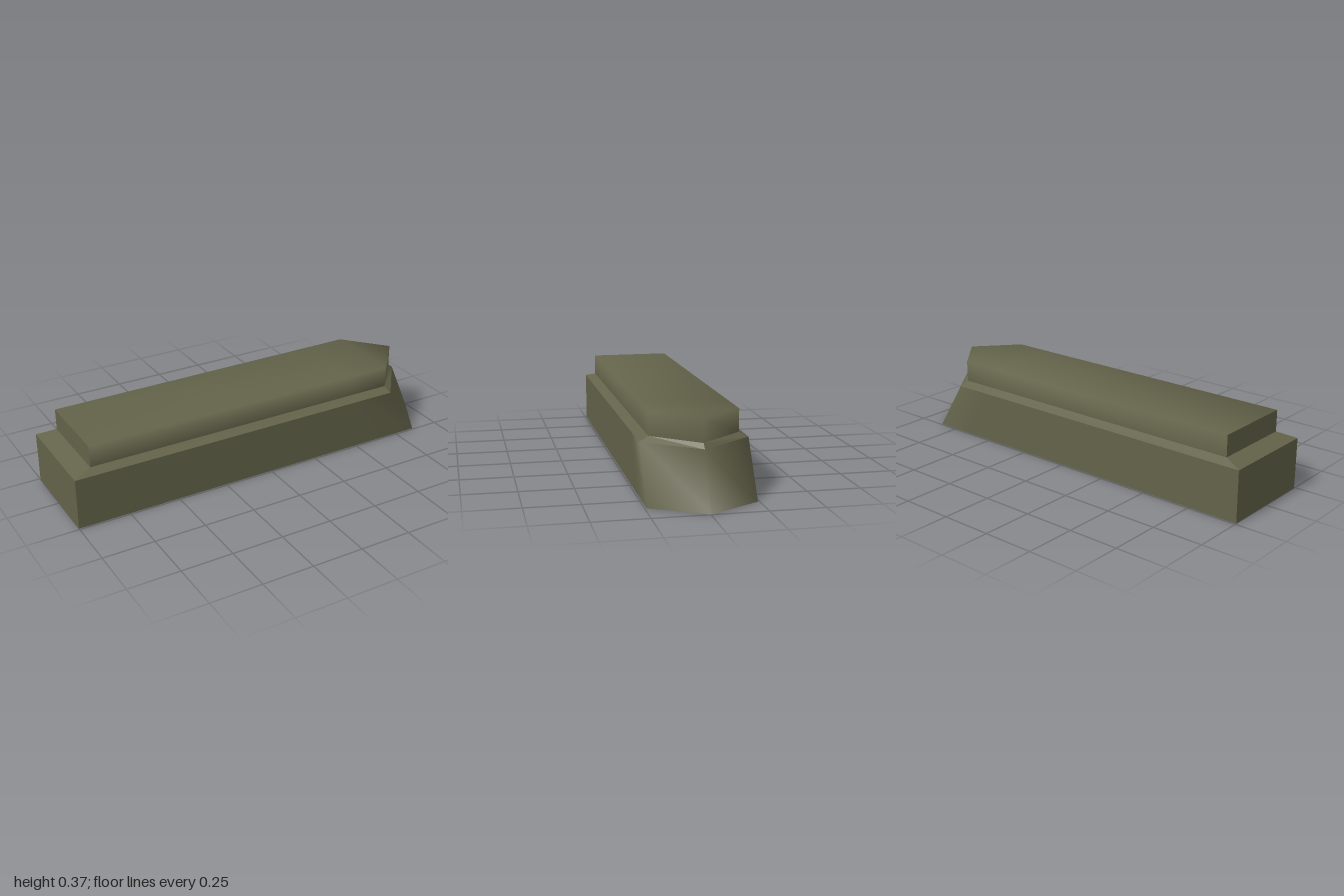
import * as THREE from 'three';

// Outline from the rear +z corner, round the pointed nose, to the rear -z corner
function outline(y, back, half, shoulder, tip) {
  const side = [[back, half], [shoulder - 0.2, half], [shoulder, half]];
  return [
    ...side.map(([x, z]) => [x, y, z]),
    [tip, y, 0],
    ...side.reverse().map(([x, z]) => [x, y, -z]),
  ];
}

// Wall between two outlines of equal length, with an optional lid on the upper one
function loft(lower, upper, lid = false) {
  const n = lower.length;
  const index = [];
  for (let i = 0; i < n - 1; i++) {
    index.push(i, i + 1, n + i, i + 1, n + i + 1, n + i);
  }
  if (lid) {
    for (let i = 0; i < (n - 1) / 2; i++) {
      const a = n + i, b = a + 1, d = 2 * n - 1 - i, c = d - 1;
      index.push(a, b, d);
      if (b !== c) index.push(b, c, d);
    }
  }
  const geometry = new THREE.BufferGeometry();
  geometry.setAttribute('position', new THREE.Float32BufferAttribute([...lower, ...upper].flat(), 3));
  geometry.setIndex(index);
  geometry.computeVertexNormals();
  return geometry;
}

function flat(geometry) {
  const result = geometry.toNonIndexed();
  result.computeVertexNormals();
  return result;
}

export function createModel() {
  const olive = new THREE.MeshStandardMaterial({ color: 0x64634a, side: THREE.DoubleSide });
  olive.name = 'olive';
  const group = new THREE.Group();
  group.name = 'pointedHousing';
  const add = (name, geometry) => {
    const mesh = new THREE.Mesh(geometry, olive);
    mesh.name = name;
    group.add(mesh);
  };

  const base = outline(0, -1, 0.242, 0.86, 1);
  const rim = outline(0.248, -1, 0.242, 0.70, 0.89);
  const foot = outline(0.27, -0.91, 0.201, 0.69, 0.865);
  const top = outline(0.374, -0.91, 0.201, 0.69, 0.865);
  const ends = (ring) => [ring[ring.length - 1], ring[0]];
  const closed = (ring) => [...ring, ring[0]];

  // Hollow lower body, open underneath
  add('lowerWall', loft(base, rim));
  add('lowerRearWall', loft(ends(base), ends(rim)));

  // Sloping ledge all round
  add('ledge', flat(loft(closed(rim), closed(foot))));

  // Upper block with softly shaded top edges
  add('upperBlock', loft(foot, top, true));
  add('upperRearWall', loft(ends(foot), ends(top)));

  return group;
}
